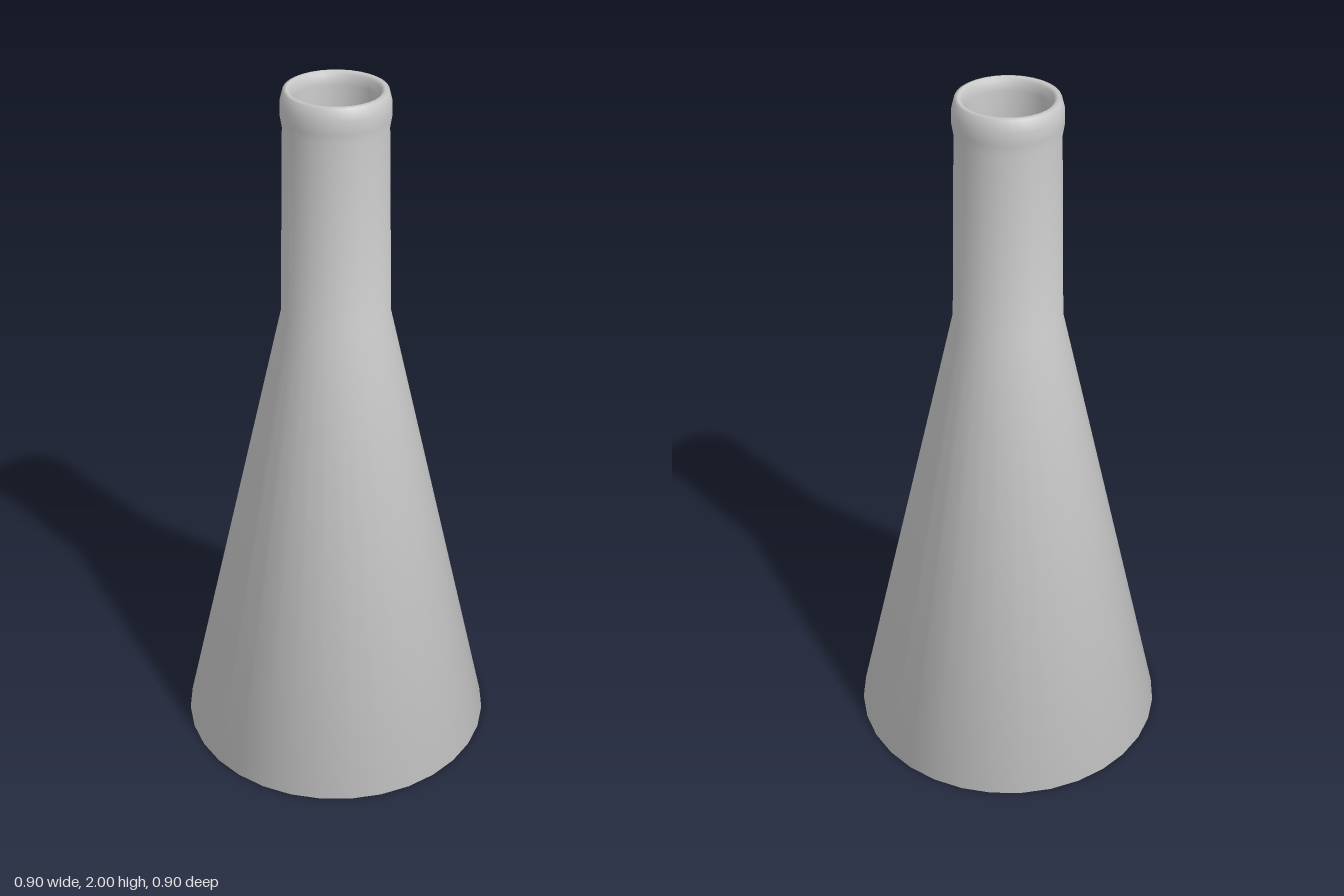
import * as THREE from 'three';

export function createModel() {
  const group = new THREE.Group();
  group.name = 'conicalFlask';
  const material = new THREE.MeshStandardMaterial({ color: 0xcccccc, side: THREE.DoubleSide });

  // One closed wall profile, turned around y: base, cone, neck, rolled lip, then the cavity
  const profile = [
    [0, 0], [0.45, 0],                                   // flat base
    [0.15, 1.36], [0.139, 1.9],                          // cone and neck
    [0.144, 1.93], [0.144, 1.965], [0.136, 1.997],       // rolled lip
    [0.126, 2], [0.116, 1.992], [0.112, 1.965],
    [0.113, 1.9], [0.12, 1.36],                          // inside of the neck
    [0.415, 0.025], [0, 0.025],                          // inside of the cone and floor
  ].map(([r, y]) => new THREE.Vector2(r, y));

  const flask = new THREE.Mesh(new THREE.LatheGeometry(profile, 32), material);
  flask.name = 'flaskBody';
  group.add(flask);
  return group;
}
